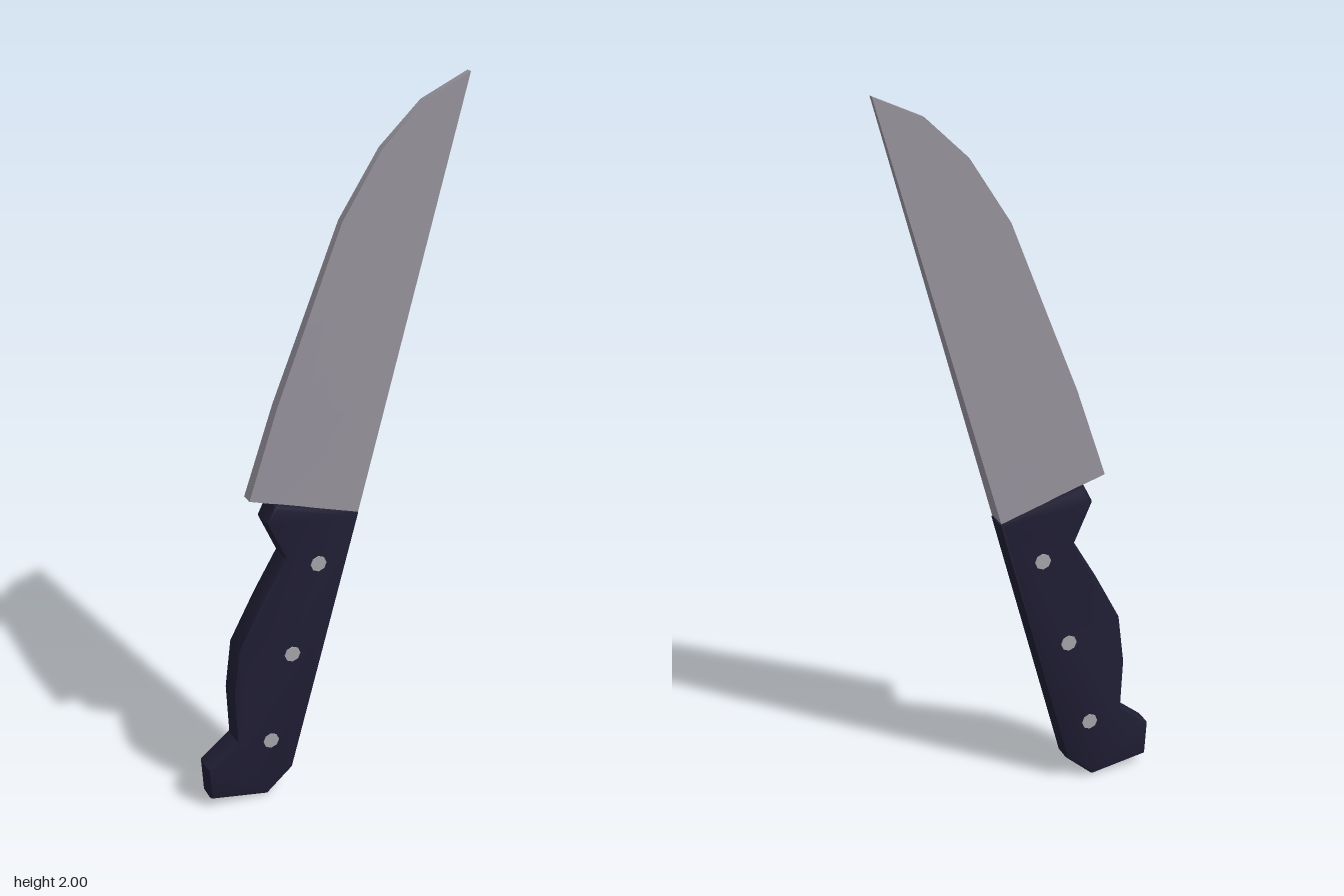
import * as THREE from 'three';
import { toCreasedNormals } from 'three/addons/utils/BufferGeometryUtils.js';

export function createModel() {
  const steel = new THREE.MeshStandardMaterial({ name: 'steel', color: 0x96929c });
  const grip = new THREE.MeshStandardMaterial({ name: 'dark grip', color: 0x1f1d33 });
  const rivetMetal = new THREE.MeshStandardMaterial({ name: 'rivet metal', color: 0xa6a5aa });

  const model = new THREE.Group();
  model.name = 'knife';
  // The knife stands upright, its flat side turned about y
  const knife = new THREE.Group();
  knife.name = 'turnedKnife';
  knife.rotation.y = THREE.MathUtils.degToRad(34.8);
  model.add(knife);
  const offset = -0.009;

  // Handle: outline extruded with softened rims
  const outline = [
    [-0.195, 0], [-0.116, 0.07], [0.087, 0.84], [-0.16, 0.91], [-0.185, 0.86], [-0.133, 0.745],
    [-0.2, 0.63], [-0.273, 0.49], [-0.29, 0.35], [-0.283, 0.2], [-0.37, 0.13], [-0.364, 0.03],
  ].map(([s, y]) => new THREE.Vector2(s, y));
  const half = 0.037, bevel = 0.012;
  const handleGeometry = new THREE.ExtrudeGeometry(new THREE.Shape(outline), {
    depth: 2 * (half - bevel), bevelEnabled: true, bevelThickness: bevel,
    bevelSize: bevel, bevelOffset: -bevel, bevelSegments: 2,
  });
  handleGeometry.translate(0, 0, -(half - bevel));
  const handle = new THREE.Mesh(toCreasedNormals(handleGeometry, 0.75), grip);
  handle.name = 'handle';
  handle.position.z = offset;
  knife.add(handle);

  // Blade: four-cornered sections from heel to tip, thick at the straight spine
  const edge = [
    [-0.226, 0.928], [-0.143, 1.18], [-0.057, 1.4], [0.042, 1.655], [0.152, 1.83], [0.266, 1.94], [0.397, 2],
  ];
  const spineAt = [0, 0.24, 0.46, 0.7, 0.86, 0.95, 1];
  const positions = [], index = [];
  edge.forEach(([s, y], i) => {
    const t = spineAt[i];
    const spineS = THREE.MathUtils.lerp(0.082, 0.397, t);
    const spineY = THREE.MathUtils.lerp(0.84, 2, t);
    const spineHalf = THREE.MathUtils.lerp(0.034, 0.009, t);
    const edgeHalf = THREE.MathUtils.lerp(0.018, 0.009, t);
    positions.push(s, y, edgeHalf, spineS, spineY, spineHalf, spineS, spineY, -spineHalf, s, y, -edgeHalf);
    if (i === 0) return;
    for (let k = 0; k < 4; k++) {
      const a = (i - 1) * 4 + k, b = (i - 1) * 4 + (k + 1) % 4;
      index.push(a, b, b + 4, a, b + 4, a + 4);
    }
  });
  index.push(0, 3, 2, 0, 2, 1); // heel cap
  const bladeGeometry = new THREE.BufferGeometry();
  bladeGeometry.setAttribute('position', new THREE.Float32BufferAttribute(positions, 3));
  bladeGeometry.setIndex(index);
  const blade = new THREE.Mesh(toCreasedNormals(bladeGeometry, 0.6), steel);
  blade.name = 'blade';
  blade.position.z = offset;
  knife.add(blade);

  // Rivets on both faces of the handle
  const rivetGeometry = new THREE.CylinderGeometry(0.023, 0.023, 0.006, 8).rotateX(Math.PI / 2);
  for (const [s, y] of [[-0.037, 0.71], [-0.116, 0.445], [-0.183, 0.18]]) {
    for (const side of [1, -1]) {
      const rivet = new THREE.Mesh(rivetGeometry, rivetMetal);
      rivet.name = side > 0 ? 'frontRivet' : 'backRivet';
      rivet.position.set(s, y, offset + side * half);
      knife.add(rivet);
    }
  }
  return model;
}
